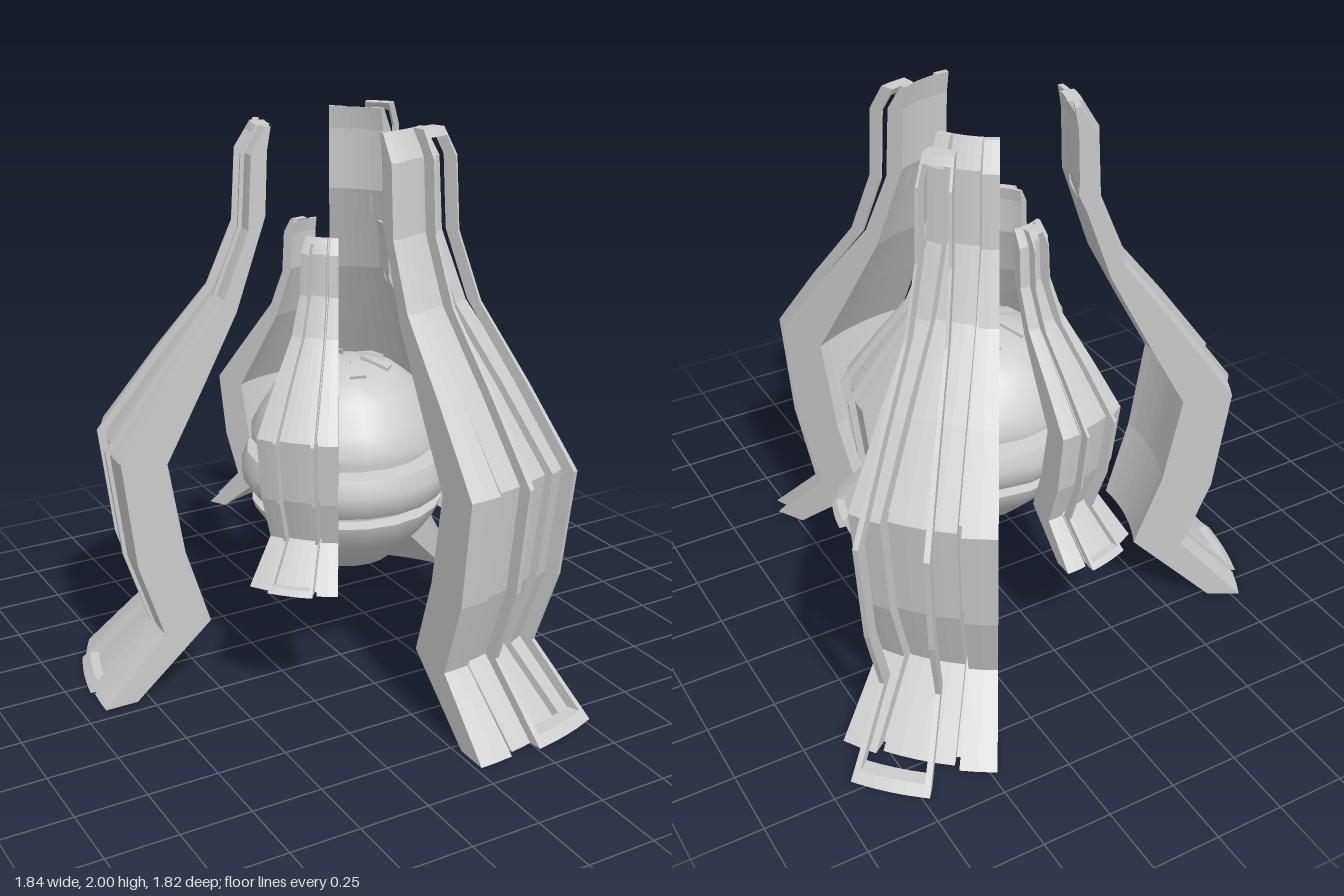
import * as THREE from 'three';
import { toCreasedNormals } from 'three/addons/utils/BufferGeometryUtils.js';

const material = new THREE.MeshStandardMaterial({ color: 0xcccccc, flatShading: true });
const smoothMaterial = new THREE.MeshStandardMaterial({ color: 0xcccccc });
const rad = THREE.MathUtils.degToRad;

// Arm profiles as [radius, height], from foot to tip
const OUTER = [[1.055, 0], [0.82, 0.24], [0.91, 0.52], [0.955, 0.91], [0.755, 1.18],
  [0.555, 1.43], [0.46, 1.66], [0.445, 1.91], [0.39, 2]];
const INNER = [[0.935, 0], [0.64, 0.25], [0.73, 0.54], [0.785, 0.88], [0.645, 1.13],
  [0.51, 1.38], [0.395, 1.7], [0.385, 1.92], [0.37, 2]];

const inset = (profile, d) => profile.map(([r, y]) => [r - d, y]);
const between = (a, b, t) => [a[0] + (b[0] - a[0]) * t, a[1] + (b[1] - a[1]) * t];

// Solid slice of a revolved profile, from angle a0 to a1 in degrees
function sector(outer, inner, a0, a1) {
  const loop = [...outer, ...[...inner].reverse()];
  const n = loop.length;
  const steps = Math.max(1, Math.round((a1 - a0) / 3.5));
  const positions = [];
  const index = [];
  for (let s = 0; s <= steps; s++) {
    const a = rad(a0 + (a1 - a0) * s / steps);
    for (const [r, y] of loop) positions.push(r * Math.cos(a), y, r * Math.sin(a));
  }
  for (let s = 0; s < steps; s++) {
    for (let i = 0; i < n; i++) {
      const j = (i + 1) % n;
      const a = s * n + i, b = s * n + j;
      index.push(a, b, b + n, a, b + n, a + n);
    }
  }
  // End walls
  const e = steps * n;
  for (let i = 0; i < outer.length - 1; i++) {
    const p = i, q = i + 1, r = n - 2 - i, t = n - 1 - i;
    index.push(p, r, q, p, t, r);
    index.push(e + p, e + q, e + r, e + p, e + r, e + t);
  }
  const geometry = new THREE.BufferGeometry();
  geometry.setAttribute('position', new THREE.Float32BufferAttribute(positions, 3));
  geometry.setIndex(index);
  geometry.computeVertexNormals();
  return geometry;
}

function addMesh(parent, name, geometry, mat = material) {
  const mesh = new THREE.Mesh(geometry, mat);
  mesh.name = name;
  parent.add(mesh);
  return mesh;
}

// Wide panel: two full edges, a slightly sunken middle and a groove on each side of it
function makePanel() {
  const panel = new THREE.Group();
  panel.name = 'armPanel';
  const strips = [
    ['edgeStrip', 0, 7, 0], ['groove', 7, 8, 0.06], ['middleStrip', 8, 22, 0.02],
    ['groove', 22, 23, 0.06], ['edgeStrip', 23, 30, 0],
  ];
  for (const [name, a0, a1, depth] of strips) {
    const outer = OUTER.map(([r, y], i) => [Math.max(r - depth, INNER[i][0] + 0.003), y]);
    addMesh(panel, name, sector(outer, INNER, a0, a1));
  }
  return panel;
}

// Open frame: two thin rails joined at foot and tip
function makeFrame() {
  const frame = new THREE.Group();
  frame.name = 'armFrame';
  const back = inset(OUTER, 0.05);
  addMesh(frame, 'rail', sector(OUTER, back, 7.5, 8.7));
  addMesh(frame, 'rail', sector(OUTER, back, 21.3, 22.5));
  const foot = [OUTER[0], between(OUTER[0], OUTER[1], 0.13)];
  const tip = [between(OUTER[7], OUTER[8], 0.7), OUTER[8]];
  addMesh(frame, 'footBar', sector(foot, inset(foot, 0.05), 8.7, 21.3));
  addMesh(frame, 'tipBar', sector(tip, inset(tip, 0.05), 8.7, 21.3));
  return frame;
}

function place(object, angle, [x, z], y, scale) {
  object.rotation.y = -rad(angle);
  object.position.set(x, y, z);
  object.scale.setScalar(scale);
  return object;
}

// Banded ball in the middle
function makeCore() {
  const core = new THREE.Group();
  core.name = 'core';
  core.position.set(0.035, 0, -0.02);
  const profile = [[0, 0.38], [0.17, 0.43], [0.285, 0.55], [0.335, 0.62], [0.345, 0.65],
    [0.3, 0.66], [0.3, 0.685], [0.35, 0.69], [0.377, 0.73], [0.382, 0.78], [0.36, 0.835],
    [0.3, 0.845], [0.3, 0.875], [0.345, 0.885], [0.345, 0.91], [0.31, 0.98],
    [0.25, 1.075], [0.18, 1.13], [0.09, 1.155], [0, 1.165]];
  const points = profile.map(([r, y]) => new THREE.Vector2(r, y));
  addMesh(core, 'ball', toCreasedNormals(new THREE.LatheGeometry(points, 20), 0.6), smoothMaterial);

  // Six small wedges around the crown
  const wedge = new THREE.Shape([[0.05, 0], [0.16, -0.03], [0.16, 0.03]].map(([x, y]) => new THREE.Vector2(x, y)));
  const geometry = new THREE.ExtrudeGeometry(wedge, { depth: 0.02, bevelEnabled: false });
  geometry.rotateX(-Math.PI / 2);
  geometry.rotateZ(-0.27);
  for (let i = 0; i < 6; i++) {
    const mesh = addMesh(core, 'crownWedge', geometry);
    mesh.position.y = 1.17;
    mesh.rotation.y = -rad(45 + i * 60);
  }
  return core;
}

export function createModel() {
  const model = new THREE.Group();
  model.name = 'armedCore';
  model.add(makeCore());

  // Start angle of each arm, with the [x, z] axis of its panel and of its frame
  const sets = [
    { name: 'largeArm', y: 0, scale: 1, arms: [
      [60, [0.02, -0.15], [0.12, -0.14]],
      [180, [0.135, -0.055], [0.123, -0.058]],
      [300, [-0.05, 0], [0.085, -0.065]]] },
    { name: 'smallArm', y: 0.475, scale: 0.575, arms: [
      [0, [-0.012, -0.095], [0.013, -0.098]],
      [120, [0.062, -0.121], [0.046, -0.11]],
      [240, [0.04, -0.03], [0.035, -0.062]]] },
  ];
  for (const { name, y, scale, arms } of sets) {
    for (const [angle, panelAxis, frameAxis] of arms) {
      const arm = new THREE.Group();
      arm.name = name;
      arm.add(place(makePanel(), angle, panelAxis, y, scale));
      arm.add(place(makeFrame(), angle, frameAxis, y, scale));
      model.add(arm);
    }
  }
  return model;
}
